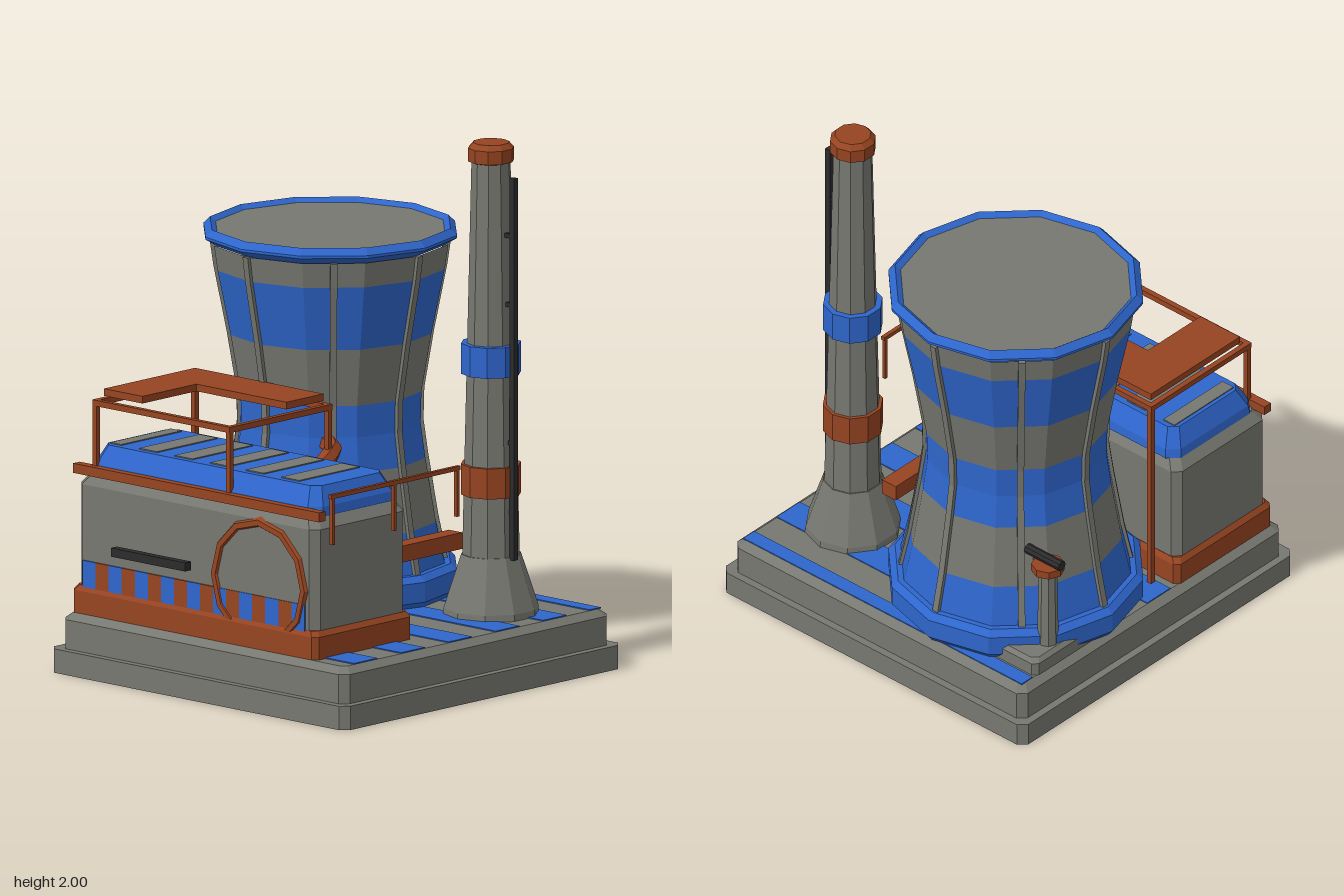
import * as THREE from 'three';

const mat = (name, color) => { const m = new THREE.MeshStandardMaterial({ color }); m.name = name; return m; };

export function createModel() {
  const gray = mat('concrete gray', 0x787872);
  const blue = mat('paint blue', 0x2e66cc);
  const orange = mat('rust orange', 0x964421);
  const black = mat('iron black', 0x2c2c2c);
  const root = new THREE.Group();
  root.name = 'powerPlant';

  // Helpers
  const flat = (g) => { const n = g.index ? g.toNonIndexed() : g; n.computeVertexNormals(); return n; };
  const add = (name, geo, m, x = 0, y = 0, z = 0, parent = root) => {
    const mesh = new THREE.Mesh(flat(geo), m);
    mesh.name = name;
    mesh.position.set(x, y, z);
    parent.add(mesh);
    return mesh;
  };
  // Box given by its limits
  const box = (name, m, x0, x1, y0, y1, z0, z1) =>
    add(name, new THREE.BoxGeometry(x1 - x0, y1 - y0, z1 - z0), m, (x0 + x1) / 2, (y0 + y1) / 2, (z0 + z1) / 2);
  // Turned part from [radius, height] points
  const turned = (name, m, pts, sides, x, z) =>
    add(name, new THREE.LatheGeometry(pts.map((p) => new THREE.Vector2(...p)), sides), m, x, 0, z);
  // Square bar between two points
  const bar = (name, m, a, b, t) => {
    const A = new THREE.Vector3(...a), B = new THREE.Vector3(...b);
    const mesh = add(name, new THREE.BoxGeometry(t, t, A.distanceTo(B)), m);
    mesh.position.copy(A).add(B).multiplyScalar(0.5);
    mesh.lookAt(B);
    return mesh;
  };
  // Corner-cut block from sections [y, halfWidth, halfDepth, cut]
  const block = (name, m, sections, x = 0, z = 0) => {
    const rings = sections.map(([y, w, d, c]) => [
      [c - w, y, d], [w - c, y, d], [w, y, d - c], [w, y, c - d],
      [w - c, y, -d], [c - w, y, -d], [-w, y, c - d], [-w, y, d - c]]);
    const pos = [];
    const tri = (...p) => p.forEach((q) => pos.push(...q));
    for (let i = 0; i + 1 < rings.length; i++) {
      for (let j = 0; j < 8; j++) {
        const k = (j + 1) % 8, lo = rings[i], hi = rings[i + 1];
        tri(lo[j], lo[k], hi[j]);
        tri(hi[k], hi[j], lo[k]);
      }
    }
    const bottom = rings[0], top = rings[rings.length - 1];
    for (let j = 1; j < 7; j++) {
      tri(top[0], top[j], top[j + 1]);
      tri(bottom[0], bottom[j + 1], bottom[j]);
    }
    const g = new THREE.BufferGeometry();
    g.setAttribute('position', new THREE.Float32BufferAttribute(pos, 3));
    return add(name, g, m, x, 0, z);
  };

  // Stepped base with striped yard
  block('baseLower', gray, [[0, 0.75, 0.75, 0.03], [0.09, 0.75, 0.75, 0.03]]);
  block('baseUpper', gray, [[0.09, 0.72, 0.72, 0.03], [0.2, 0.72, 0.72, 0.03], [0.225, 0.69, 0.69, 0.02]]);
  box('yardStripe', blue, -0.69, 0.69, 0.224, 0.229, -0.69, -0.63);
  for (let i = 0; i < 5; i++) {
    const z = -0.507 + i * 0.254;
    box('yardStripe', blue, -0.69, 0.69, 0.224, 0.229, z, z + 0.127);
  }

  // Cooling tower
  const TX = -0.255, TZ = -0.24;
  const profile = [[0.435, 0.34], [0.4, 0.5], [0.36, 0.74], [0.342, 0.87], [0.345, 0.99],
    [0.383, 1.21], [0.433, 1.455], [0.447, 1.55]];
  const bands = [[0, 1, blue], [1, 2, gray], [2, 4, blue], [4, 5, gray], [5, 6, blue], [6, 7, gray]];
  bands.forEach(([a, b, m]) => turned('towerBand', m, profile.slice(a, b + 1), 12, TX, TZ));
  turned('towerFoot', blue, [[0.46, 0.226], [0.48, 0.25], [0.48, 0.325], [0.455, 0.347], [0.42, 0.347]], 12, TX, TZ);
  turned('towerRim', blue, [[0.43, 1.545], [0.48, 1.575], [0.48, 1.585], [0.455, 1.61], [0.43, 1.59]], 12, TX, TZ);
  turned('towerCap', gray, [[0.435, 1.58], [0.435, 1.593], [0, 1.593]], 12, TX, TZ);
  for (let i = 0; i < 8; i++) {
    const k = i % 2 ? 0.966 : 0.995;
    const inner = profile.map(([r, y]) => new THREE.Vector2(r * k - 0.015, y));
    const outer = profile.map(([r, y]) => new THREE.Vector2(r * k + 0.013, y)).reverse();
    const g = new THREE.ExtrudeGeometry(new THREE.Shape([...inner, ...outer]), { depth: 0.026, bevelEnabled: false });
    g.translate(0, 0, -0.013);
    add('towerRib', g, gray, TX, 0, TZ).rotation.y = i * Math.PI / 4;
  }

  // Chimney
  const CX = 0.445, CZ = -0.36;
  turned('chimneyFoot', gray, [[0.18, 0.225], [0.178, 0.25], [0.112, 0.45], [0, 0.45]], 10, CX, CZ);
  turned('chimneyShaft', gray, [[0.108, 0.44], [0.073, 1.94]], 10, CX, CZ);
  const collar = (name, m, r, y0, y1) =>
    turned(name, m, [[0.07, y0], [r, y0], [r, y1], [0.06, y1]], 10, CX, CZ);
  collar('chimneyLowerBand', orange, 0.113, 0.675, 0.79);
  collar('chimneyUpperBand', blue, 0.112, 1.13, 1.245);
  turned('chimneyCap', orange, [[0.07, 1.925], [0.086, 1.93], [0.086, 1.98], [0.068, 2], [0, 2]], 10, CX, CZ);
  box('chimneyLadder', black, 0.548, 0.572, 0.44, 1.88, -0.371, -0.349);
  for (let i = 0; i < 5; i++) bar('ladderBracket', black, [0.5, 0.62 + i * 0.26, CZ], [0.56, 0.62 + i * 0.26, CZ], 0.016);

  // Turbine hall
  const HX = -0.075, HZ = 0.425;
  block('hallPlinth', orange, [[0.225, 0.62, 0.265, 0.02], [0.31, 0.62, 0.265, 0.02], [0.33, 0.605, 0.252, 0.02]], HX, HZ);
  block('hallBody', gray, [[0.32, 0.605, 0.25, 0.03], [0.71, 0.605, 0.25, 0.03], [0.75, 0.575, 0.225, 0.03]], HX, HZ);
  block('hallRoof', blue, [[0.75, 0.58, 0.23, 0.04], [0.785, 0.575, 0.225, 0.04], [0.855, 0.54, 0.185, 0.03]], HX, 0.415);
  for (let i = 0; i < 6; i++) {
    const x = -0.59 + i * 0.18;
    box('roofStripe', gray, Math.max(x - 0.045, -0.6), x + 0.045, 0.853, 0.859, 0.25, 0.575);
  }
  bar('eaveBeam', orange, [-0.697, 0.763, 0.655], [0.547, 0.763, 0.655], 0.036);

  // Hall front: striped skirt, round hatch and vent
  for (let i = 0; i < 17; i++) {
    const x = -0.64 + i * 0.066;
    box('skirtStripe', i % 2 ? orange : blue, x, x + 0.066, 0.325, 0.425, 0.673, 0.682);
  }
  const hatch = add('hatchDisc', new THREE.CylinderGeometry(0.225, 0.225, 0.02, 12), gray, 0.25, 0.475, 0.668);
  hatch.rotation.x = Math.PI / 2;
  add('hatchRing', new THREE.TorusGeometry(0.226, 0.021, 6, 12), orange, 0.25, 0.475, 0.669);
  box('ventBar', black, -0.445, -0.07, 0.477, 0.51, 0.705, 0.737);

  // Roof canopy: frame and L-shaped deck
  const X0 = -0.61, X1 = 0.065, Z0 = 0.11, Z1 = 0.64, RY = 1.018;
  for (const x of [X0, X1]) {
    bar('canopyFrontPost', orange, [x, 0.77, Z1], [x, RY, Z1], 0.02);
    bar('canopyBackPost', orange, [x, 0.225, Z0], [x, RY, Z0], 0.02);
    bar('canopySideRail', orange, [x, RY, Z0 - 0.01], [x, RY, Z1 + 0.01], 0.022);
  }
  for (const z of [Z0, Z1]) bar('canopyRail', orange, [X0 - 0.01, RY, z], [X1 + 0.01, RY, z], 0.022);
  const deck = new THREE.Shape([[-0.6, -0.61], [-0.405, -0.61], [-0.405, -0.32], [0.05, -0.32], [0.05, -0.12], [-0.6, -0.12]]
    .map((p) => new THREE.Vector2(...p)));
  add('canopyDeck', new THREE.ExtrudeGeometry(deck, { depth: 0.027, bevelEnabled: false }), orange, 0, 1.04, 0)
    .rotation.x = -Math.PI / 2;

  // Ducts from hall to tower and to chimney
  const path = new THREE.CatmullRomCurve3([[0.08, 0.77, 0.24], [0.08, 0.815, 0.15], [0.04, 0.845, 0.06], [-0.04, 0.845, 0]]
    .map((p) => new THREE.Vector3(...p)));
  add('steamDuct', new THREE.TubeGeometry(path, 6, 0.035, 6), orange);
  box('flueDuct', orange, 0.232, 0.3, 0.443, 0.505, -0.36, 0.15);
  box('flueFlange', orange, 0.222, 0.31, 0.435, 0.515, 0.145, 0.18);
  for (const y of [0.52, 0.62]) bar('wallBracket', orange, [X1, y, 0.11], [X1, y + 0.02, 0.18], 0.018);

  // Side handrail
  bar('sideRail', orange, [0.58, 0.842, -0.045], [0.58, 0.842, 0.648], 0.016);
  for (const z of [-0.033, 0.305, 0.636]) bar('sideRailPost', orange, [0.58, 0.66, z], [0.58, 0.842, z], 0.014);

  // Pump with hand valve behind the tower
  block('pumpPad', gray, [[0.225, 0.13, 0.185, 0.02], [0.275, 0.13, 0.185, 0.02], [0.29, 0.115, 0.17, 0.02]], -0.565, -0.435);
  const PX = -0.635, PZ = -0.485;
  add('pumpPost', new THREE.CylinderGeometry(0.034, 0.04, 0.34, 8), gray, PX, 0.45, PZ);
  add('pumpFlange', new THREE.CylinderGeometry(0.062, 0.062, 0.03, 8), orange, PX, 0.625, PZ);
  bar('pumpPipe', orange, [PX, 0.62, PZ], [-0.48, 0.62, -0.42], 0.04);
  const handle = add('pumpHandle', new THREE.CylinderGeometry(0.02, 0.02, 0.17, 8), black, -0.62, 0.66, PZ);
  handle.rotation.z = Math.PI / 2;

  return root;
}
